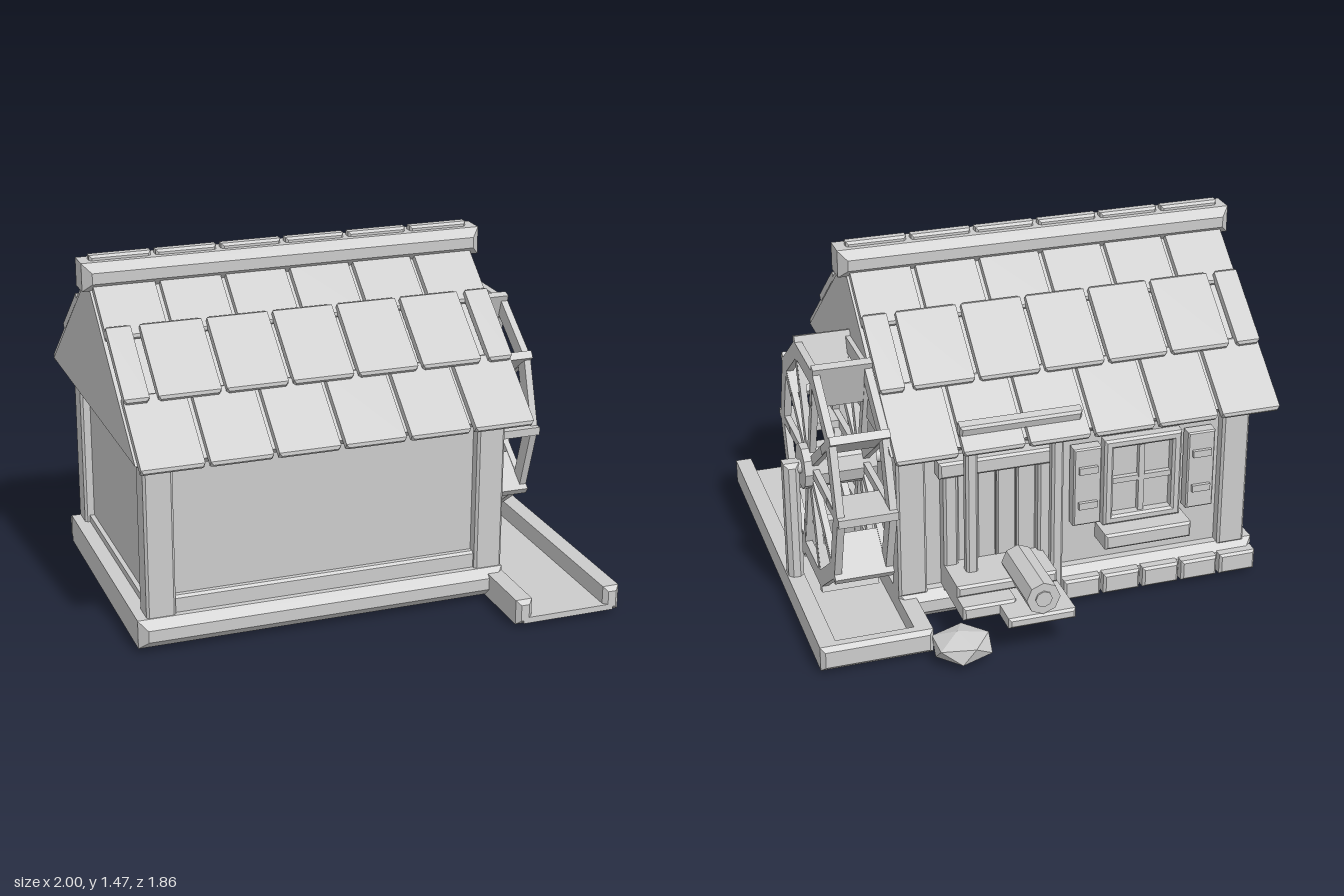
import * as THREE from 'three';
import { ConvexGeometry } from 'three/addons/geometries/ConvexGeometry.js';

const grey = new THREE.MeshStandardMaterial({ color: 0xcccccc });
grey.name = 'plain grey';

function add(parent, name, geometry, x = 0, y = 0, z = 0) {
  const mesh = new THREE.Mesh(geometry, grey);
  mesh.name = name;
  mesh.position.set(x, y, z);
  parent.add(mesh);
  return mesh;
}

// Chamfered box given by its min and max on each axis
function block(parent, name, [x0, x1], [y0, y1], [z0, z1], c = 0.01) {
  const w = x1 - x0, h = y1 - y0, d = z1 - z0;
  const a = w / 2 - c, b = h / 2 - c;
  let geo;
  if (c > 0) {
    const shape = new THREE.Shape([[-a, -b], [a, -b], [a, b], [-a, b]].map(p => new THREE.Vector2(...p)));
    geo = new THREE.ExtrudeGeometry(shape, {
      depth: d - 2 * c, bevelEnabled: true, bevelThickness: c, bevelSize: c, bevelSegments: 1,
    });
    geo.translate(0, 0, c - d / 2);
  } else geo = new THREE.BoxGeometry(w, h, d);
  return add(parent, name, geo, (x0 + x1) / 2, (y0 + y1) / 2, (z0 + z1) / 2);
}

function group(parent, name) {
  const g = new THREE.Group();
  g.name = name;
  parent.add(g);
  return g;
}

function buildHouse(model) {
  const house = group(model, 'house');
  block(house, 'foundation', [-0.95, 0.61], [0.02, 0.14], [-0.53, 0.66], 0.035);
  block(house, 'walls', [-0.87, 0.56], [0.12, 0.82], [-0.46, 0.57], 0);
  for (const x of [-0.91, 0.49])
    for (const z of [-0.51, 0.51])
      block(house, 'cornerPost', [x, x + 0.12], [0.13, 0.81], [z, z + 0.11]);
  block(house, 'frontSill', [-0.8, 0.5], [0.13, 0.21], [0.55, 0.6]);
  block(house, 'frontTopBeam', [-0.8, 0.5], [0.77, 0.82], [0.55, 0.6]);
  block(house, 'backTopBeam', [-0.8, 0.5], [0.75, 0.82], [-0.5, -0.45]);
  for (const x of [-0.89, 0.54]) {
    block(house, 'sideTopBeam', [x, x + 0.05], [0.77, 0.82], [-0.42, 0.52]);
    block(house, 'sideSill', [x, x + 0.05], [0.12, 0.17], [-0.42, 0.52]);
  }
  // Foundation stones along the back
  for (let i = 0; i < 5; i++) {
    const x = -0.94 + i * 0.175;
    block(house, 'foundationStone', [x, x + 0.16], [0.02, 0.11], [-0.57, -0.5]);
  }
}

function buildRoof(model) {
  const roof = group(model, 'roof');
  const cz = 0.06;
  // Solid gable body with a tapered underside
  const pts = [];
  for (const s of [-1, 1]) {
    const x = -0.155 + s * 0.815, xi = -0.155 + s * 0.77;
    pts.push(new THREE.Vector3(x, 1.385, cz));
    for (const t of [-1, 1])
      pts.push(new THREE.Vector3(x, 0.835, cz + t * 0.685), new THREE.Vector3(xi, 0.8, cz + t * 0.635));
  }
  add(roof, 'gableBody', new ConvexGeometry(pts));

  // Three overlapping rows of tiles on each slope; middle row is staggered
  const full = [...Array(6)].map((_, i) => [-0.805 + i * 0.272, -0.555 + i * 0.272]);
  const staggered = [[-0.805, -0.705], [0.705, 0.805]];
  for (let i = 0; i < 5; i++) staggered.push([-0.669 + i * 0.272, -0.419 + i * 0.272]);
  for (const turn of [0, Math.PI]) {
    const side = group(roof, turn ? 'backSlope' : 'frontSlope');
    side.position.set(-0.155, 1.42, cz);
    side.rotation.y = turn;
    const slope = group(side, 'tileRows');
    slope.rotation.x = Math.atan(0.8);
    for (const t of full) {
      block(slope, 'lowerTile', t, [-0.03, 0], [0.6, 0.947]);
      block(slope, 'upperTile', t, [-0.03, 0], [0.05, 0.34]);
    }
    for (const t of staggered) block(slope, 'middleTile', t, [-0.01, 0.022], [0.295, 0.646]);
  }

  // Ridge beam with a cap of short tiles
  block(roof, 'ridgeBeam', [-1, 0.695], [1.34, 1.455], [-0.025, 0.145], 0.035);
  for (const [a, b] of full) block(roof, 'ridgeTile', [a - 0.155, b - 0.155], [1.43, 1.475], [0.035, 0.085]);
}

function buildWheel(model) {
  const wheel = group(model, 'waterWheel');
  wheel.position.set(0, 0.61, -0.16);
  const ring = r => [...Array(10)].map((_, i) =>
    new THREE.Vector2(r * Math.cos(i * Math.PI / 5), r * Math.sin(i * Math.PI / 5)));
  const rim = new THREE.Shape(ring(0.51));
  rim.holes.push(new THREE.Path(ring(0.44).reverse()));
  const rimGeo = new THREE.ExtrudeGeometry(rim, { depth: 0.03, bevelEnabled: false });
  rimGeo.rotateY(Math.PI / 2);
  for (const x of [0.65, 0.86]) add(wheel, 'rim', rimGeo, x);

  // Spokes on both rims and a paddle across each pair
  for (let i = 0; i < 10; i++) {
    const arm = group(wheel, 'spokePair');
    arm.rotation.x = i * Math.PI / 5;
    for (const x of [0.652, 0.862])
      block(arm, 'spoke', [x, x + 0.026], [-0.02, 0.02], [0.05, 0.46], 0);
    block(arm, 'paddle', [0.65, 0.89], [-0.017, 0.017], [0.33, 0.53], 0);
  }
  const hub = new THREE.CylinderGeometry(0.095, 0.095, 0.3, 10).toNonIndexed();
  hub.computeVertexNormals();
  hub.rotateZ(Math.PI / 2);
  add(wheel, 'hub', hub, 0.77);
  const axle = new THREE.CylinderGeometry(0.03, 0.03, 0.44, 10);
  axle.rotateZ(Math.PI / 2);
  add(wheel, 'axle', axle, 0.76);
  block(model, 'axlePost', [0.93, 0.995], [0.015, 0.64], [-0.2, -0.12], 0.018);
}

function buildChannel(model) {
  const channel = group(model, 'waterChannel');
  block(channel, 'channelFloor', [0.57, 0.97], [0.02, 0.045], [-0.75, 0.935], 0);
  block(channel, 'outerRail', [0.93, 1], [0.015, 0.12], [-0.77, 0.935], 0.018);
  block(channel, 'innerRail', [0.54, 0.61], [0.015, 0.12], [-0.77, 0.935], 0.018);
  block(channel, 'backRail', [0.54, 1], [0.015, 0.12], [-0.775, -0.705], 0.018);
}

function buildEntrance(model) {
  const porch = group(model, 'entrance');
  // Door planks and frame
  for (let i = 0; i < 4; i++) {
    const x = 0.02 + i * 0.085;
    block(porch, 'doorPlank', [x, x + 0.08], [0.14, 0.64], [-0.485, -0.45], 0.006);
  }
  for (const x of [-0.04, 0.36]) block(porch, 'doorJamb', [x, x + 0.06], [0.13, 0.7], [-0.52, -0.45]);
  block(porch, 'doorLintel', [-0.06, 0.44], [0.65, 0.72], [-0.53, -0.45]);

  // Canopy posts and the bar resting on the tiles
  for (const x of [-0.06, 0.3]) block(porch, 'canopyPost', [x, x + 0.05], [0.03, 0.86], [-0.6, -0.55]);
  const bar = block(porch, 'canopyBar', [-0.125, 0.38], [0.875, 0.925], [-0.625, -0.572]);
  bar.rotation.x = -0.3;

  // Platform, steps and log
  block(porch, 'platform', [-0.01, 0.27], [0.145, 0.19], [-0.9, -0.48]);
  block(porch, 'sideStep', [0.2, 0.42], [0.14, 0.2], [-0.78, -0.48]);
  block(porch, 'upperStep', [0.0, 0.42], [0.2, 0.25], [-0.7, -0.48]);
  const log = new THREE.CylinderGeometry(0.07, 0.07, 0.32, 8).toNonIndexed();
  log.computeVertexNormals();
  log.rotateX(Math.PI / 2);
  add(porch, 'log', log, 0.13, 0.265, -0.745);
  const core = new THREE.CylinderGeometry(0.035, 0.035, 0.008, 8);
  core.rotateX(Math.PI / 2);
  add(porch, 'logCore', core, 0.13, 0.265, -0.908);

  // Boulder beside the steps
  const rock = new THREE.IcosahedronGeometry(0.135, 0);
  rock.rotateZ(0.4);
  rock.scale(1, 0.48, 0.92);
  add(model, 'boulder', rock, 0.44, 0.065, -0.82);
}

function buildWindow(model) {
  const win = group(model, 'window');
  const cx = -0.44;
  const span = (a, b) => [cx + a, cx + b];
  block(win, 'pane', span(-0.15, 0.15), [0.32, 0.68], [-0.465, -0.45], 0);
  for (const x of [-0.17, 0.13]) block(win, 'frameSide', span(x, x + 0.04), [0.31, 0.7], [-0.51, -0.45]);
  for (const y of [0.31, 0.66]) block(win, 'frameRail', span(-0.17, 0.17), [y, y + 0.04], [-0.51, -0.45]);
  block(win, 'mullion', span(-0.012, 0.012), [0.33, 0.68], [-0.49, -0.45], 0);
  block(win, 'crossBar', span(-0.15, 0.15), [0.49, 0.514], [-0.488, -0.45], 0);
  block(win, 'sillBox', span(-0.19, 0.19), [0.24, 0.31], [-0.59, -0.45]);
  // Open shutters with two battens each
  for (const x of [-0.31, 0.19]) {
    block(win, 'shutter', span(x, x + 0.12), [0.34, 0.69], [-0.525, -0.465], 0.006);
    for (const y of [0.42, 0.58]) block(win, 'shutterBatten', span(x + 0.02, x + 0.1), [y, y + 0.03], [-0.54, -0.5], 0);
  }
}

export function createModel() {
  const model = new THREE.Group();
  model.name = 'waterMill';
  buildHouse(model);
  buildRoof(model);
  buildWheel(model);
  buildChannel(model);
  buildEntrance(model);
  buildWindow(model);
  return model;
}
